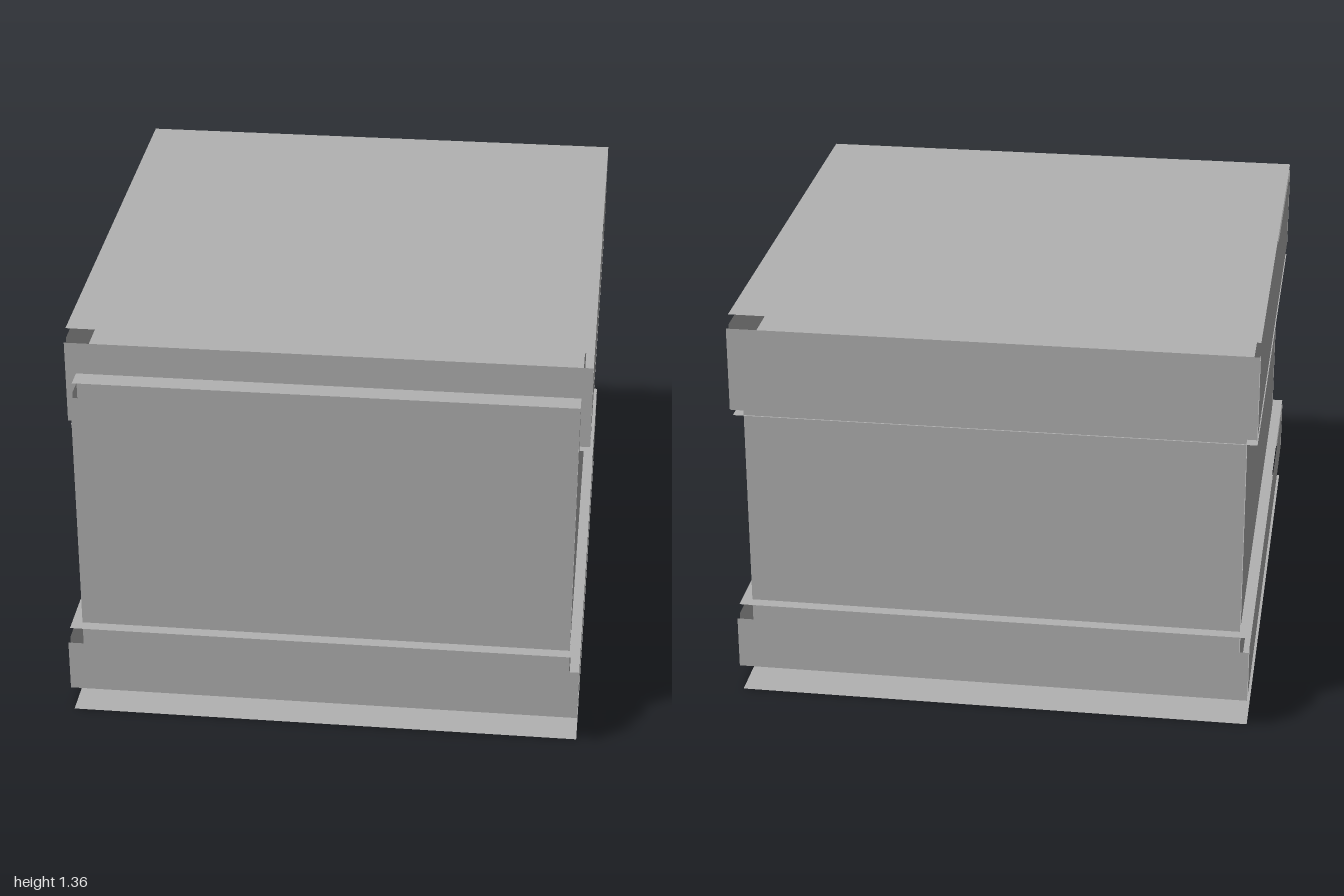
import * as THREE from 'three';

const GAP = 0.035; // how far each loose panel floats off its box

export function createModel() {
  const model = new THREE.Group();
  model.name = 'panelledBox';
  const grey = new THREE.MeshStandardMaterial({ color: 0xb2b2b2, side: THREE.DoubleSide });
  grey.name = 'plain grey';

  const panel = (parent, name, w, h, position, rx = 0, ry = 0) => {
    const mesh = new THREE.Mesh(new THREE.PlaneGeometry(w, h), grey);
    mesh.name = name;
    mesh.position.set(...position);
    mesh.rotation.set(rx, ry, 0);
    parent.add(mesh);
  };

  // A box of separate flat panels; bottomY is left out for an open underside
  const panelBox = ({ name, halfX, y0, y1, z0, z1, bottomY }) => {
    const box = new THREE.Group();
    box.name = name;
    const w = halfX * 2, h = y1 - y0, d = z1 - z0;
    const y = (y0 + y1) / 2, z = (z0 + z1) / 2;
    panel(box, name + 'Front', w, h, [0, y, z1 + GAP]);
    panel(box, name + 'Back', w, h, [0, y, z0 - GAP], 0, Math.PI);
    panel(box, name + 'Left', d, h, [halfX, y, z], 0, Math.PI / 2);
    panel(box, name + 'Right', d, h, [-halfX, y, z], 0, -Math.PI / 2);
    panel(box, name + 'Top', w, d, [0, y1 + GAP, z], -Math.PI / 2);
    if (bottomY !== undefined) panel(box, name + 'Bottom', w, d, [0, bottomY, z], Math.PI / 2);
    model.add(box);
  };

  panelBox({ name: 'base', halfX: 0.855, y0: 0.11, y1: 0.29, z0: -0.965, z1: 0.965, bottomY: 0 });
  panelBox({ name: 'body', halfX: 0.82, y0: 0.11, y1: 1.18, z0: -0.89, z1: 0.89 });
  panelBox({ name: 'lid', halfX: 0.855, y0: 1.04, y1: 1.325, z0: -0.93, z1: 0.785, bottomY: 1.005 });

  return model;
}
